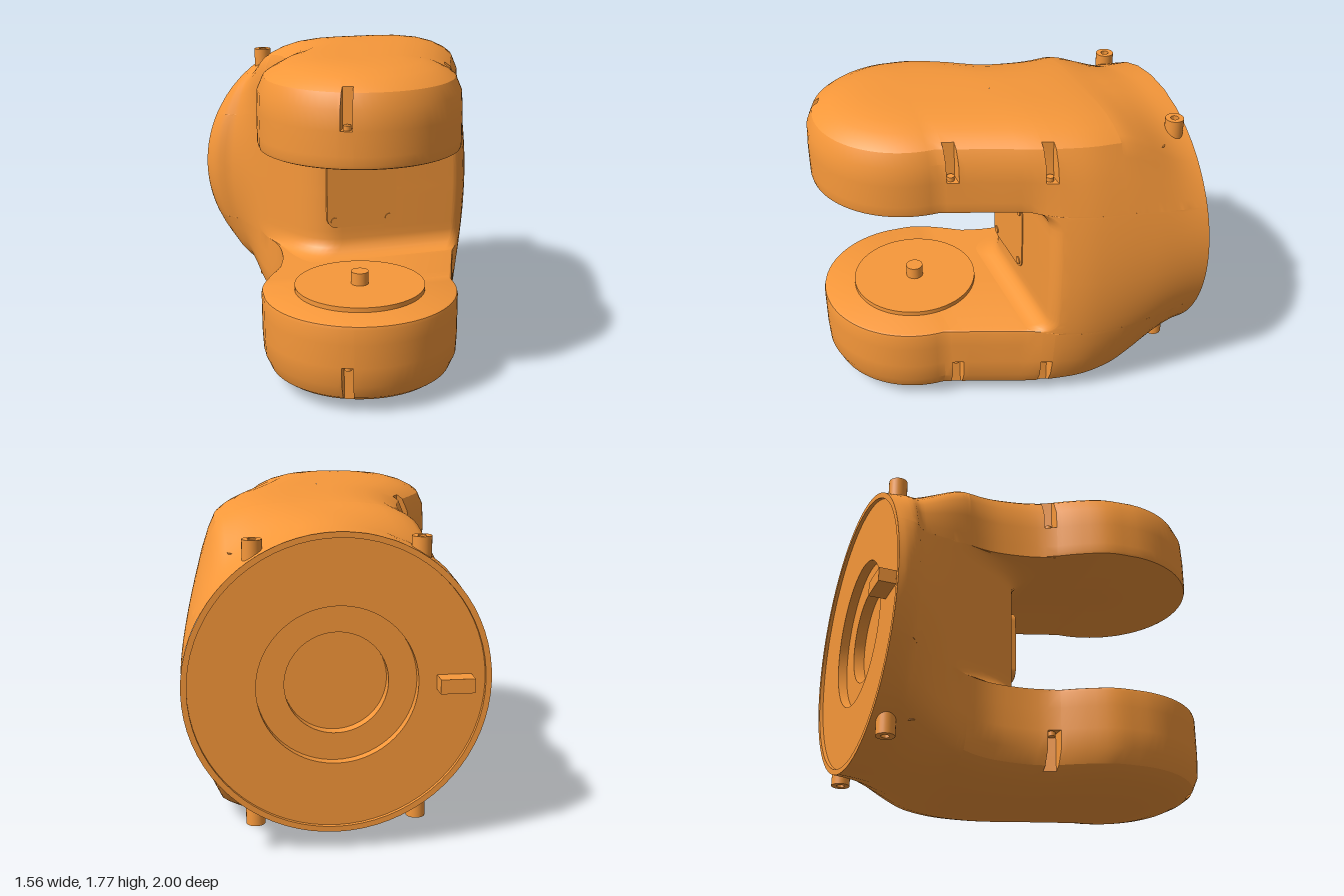
import * as THREE from 'three';
import { mergeGeometries, toCreasedNormals } from 'three/addons/utils/BufferGeometryUtils.js';

const MID = 0.89, BACK = -0.93, JOIN = -0.45, WALL = -0.07, NOSE = { x: -0.17, z: 0.47, r: 0.53 };
const material = new THREE.MeshStandardMaterial({ color: 0xf7983a });

// Smooth interpolation through [z, value] pairs
function smooth(pts) {
  const slope = i => {
    const a = pts[Math.max(i - 1, 0)], b = pts[Math.min(i + 1, pts.length - 1)];
    return (b[1] - a[1]) / (b[0] - a[0]);
  };
  return z => {
    let i = 0;
    while (i < pts.length - 2 && z > pts[i + 1][0]) i++;
    const [z0, p] = pts[i], [z1, q] = pts[i + 1], h = z1 - z0;
    const t = THREE.MathUtils.clamp((z - z0) / h, 0, 1), t2 = t * t, t3 = t2 * t;
    return (2 * t3 - 3 * t2 + 1) * p + (t3 - 2 * t2 + t) * h * slope(i)
      + (3 * t2 - 2 * t3) * q + (t3 - t2) * h * slope(i + 1);
  };
}

// Plan outlines, spine and half height along z
const front = [[0.02, 0.537], [0.1, 0.505], [0.27, 0.437], [0.4, 0.388], [0.47, 0.362]];
const leftEdge = smooth([[-0.93, -0.78], [-0.88, -0.775], [-0.81, -0.735], [-0.76, -0.66], [-0.6, -0.55], [-0.4, -0.47],
  [-0.25, -0.455], [-0.02, -0.5], [0.15, -0.605], [0.3, -0.68], [0.47, -0.7]]);
const rightArm = smooth([[-0.93, 0.6], [-0.5, 0.61], [-0.3, 0.615], [-0.12, 0.58], ...front]);
const rightMid = smooth([[-0.93, 0.78], [-0.6, 0.77], [-0.3, 0.72], [-0.12, 0.645], ...front]);
const spine = smooth([[-0.93, 0], [-0.5, 0.05], [-0.3, 0.08], [-0.1, 0.05], [0.15, -0.06], [0.47, -0.17]]);
const halfHeight = smooth([[-0.93, 0.78], [-0.78, 0.79], [-0.6, 0.823], [-0.4, 0.86], [-0.1, 0.88], [0.2, 0.885], [1, 0.885]]);

// Cross-section: round at the back, blending into the bevelled arm section
const blend = z => THREE.MathUtils.smoothstep(z, BACK, JOIN);
function sectionX(side, z, { a, b }) {
  const c = spine(z), mid = side < 0 ? c - leftEdge(z) : rightMid(z) - c;
  const arm = side < 0 ? mid : rightArm(z) - c;
  const bulge = Math.max(0, 1 - (b / 0.81) ** 2);
  const round = mid * Math.cos(Math.atan2(b, a));
  return c + side * THREE.MathUtils.lerp(round, a * (arm + (mid - arm) * bulge), blend(z));
}
const sectionY = (z, { a, b }) => halfHeight(z) * THREE.MathUtils.lerp(Math.sin(Math.atan2(b, a)), b, blend(z));

// Indexed sheet from a point rule
function sheet(nu, nv, point, flip) {
  const pos = [], index = [];
  for (let u = 0; u < nu; u++) for (let v = 0; v < nv; v++) pos.push(...point(u, v));
  for (let u = 0; u < nu - 1; u++) for (let v = 0; v < nv - 1; v++) {
    const p = u * nv + v, q = p + nv;
    index.push(...(flip ? [p, p + 1, q, q, p + 1, q + 1] : [p, q, p + 1, q, q + 1, p + 1]));
  }
  const g = new THREE.BufferGeometry();
  g.setAttribute('position', new THREE.Float32BufferAttribute(pos, 3));
  g.setIndex(index);
  return g;
}

// Section rows from the gap to the outer crown; "cut" rows open into the screw slots
const outerRows = [
  { a: 1, b: 0.55 }, { a: 1, b: 0.69 }, { a: 1, b: 0.69, cut: true }, { a: 0.99, b: 0.81, cut: true },
  { a: 0.93, b: 0.893, cut: true }, ...[[0.87, 0.92], [0.75, 0.955], [0.6, 0.981], [0.4, 0.996], [0.2, 1], [0, 1]].map(([a, b]) => ({ a, b })),
];

// Half of the column: front wall filleted into the arm, swept broadly round the left flank
function columnHalf(up, gap) {
  const start = gap - 0.11, rows = [];
  for (let i = 0; i <= 12; i++) {
    const e = Math.sin(Math.max(0, i - 6) / 6 * Math.PI / 2), fillet = 1 - Math.sqrt(1 - e * e);
    const b = i < 6 ? start * i / 6 : start + 0.11 * e;
    rows.push({ a: 1, b, end: WALL + 0.1 * fillet, left: [0.36 - 0.1 * fillet, 0.5], right: [0.05, 0.05] });
  }
  for (const row of [{ a: 1, b: gap }, ...outerRows]) rows.push({ ...row, end: JOIN, left: [0, 0], right: [0, 0] });
  const path = [];
  for (let i = 0; i <= 22; i++) path.push({ side: -1, t: i / 22, c: 0 });
  for (let i = 1; i <= 14; i++) path.push({ side: -1, t: 1, c: i / 14 * Math.PI / 2 });
  path.push(...path.map(p => ({ ...p, side: 1 })).reverse());
  return sheet(path.length, rows.length, (u, v) => {
    const { side, t, c } = path[u], row = rows[v], [rx, rz] = side < 0 ? row.left : row.right;
    const z = BACK + t * (row.end - rz - BACK) + rz * Math.sin(c);
    return [sectionX(side, z, row) - side * rx * (1 - Math.cos(c)), MID + up * sectionY(z, row), z];
  }, up < 0);
}

// Distance along the arm outline: left side, round nose, right side
const noseEnd = NOSE.z + Math.PI * NOSE.r, armEnd = noseEnd + NOSE.z - JOIN;
const slots = [0.02, 1.09, noseEnd + 0.07, noseEnd + 0.54];
function armPoint(s, row, up) {
  if (s > NOSE.z && s < noseEnd) {
    const f = (s - NOSE.z) / NOSE.r, d = NOSE.r * row.a;
    const z = NOSE.z + d * Math.sin(f);
    return [NOSE.x - d * Math.cos(f), MID + up * sectionY(z, row), z];
  }
  const side = s <= NOSE.z ? -1 : 1, z = side < 0 ? s : NOSE.z - (s - noseEnd);
  return [sectionX(side, z, row), MID + up * sectionY(z, row), z];
}
function armGeometry(up, gap) {
  const rows = [{ a: 0, b: gap }, { a: 0.97, b: gap, lip: true }, { a: 0.992, b: gap + 0.006, lip: true }, { a: 1, b: gap + 0.025 }, ...outerRows];
  const stations = [];
  for (let i = 0; i <= 80; i++) {
    const s = JOIN + (armEnd - JOIN) * i / 80;
    if (!slots.some(n => Math.abs(s - n) < 0.035)) stations.push({ s });
  }
  for (const n of slots) stations.push({ s: n - 0.03 }, { s: n - 0.0299, cut: true }, { s: n + 0.0299, cut: true }, { s: n + 0.03 });
  stations.sort((p, q) => p.s - q.s);
  return sheet(stations.length, rows.length, (u, v) => {
    const { s, cut } = stations[u], row = rows[v], inColumn = s < 0 || s > noseEnd + NOSE.z;
    const a = cut && row.cut ? 0.87 : inColumn && row.lip ? 1 : row.a;
    return armPoint(s, { a, b: row.b }, up);
  }, up < 0);
}

export function createModel() {
  const model = new THREE.Group();
  const add = (name, geometry, x = 0, y = 0, z = 0) => {
    const mesh = new THREE.Mesh(geometry, material);
    mesh.name = name;
    mesh.position.set(x, y, z);
    model.add(mesh);
    return mesh;
  };
  const halves = [['lower', -1, 0.43], ['upper', 1, 0.475]];

  // Column and the two arms
  add('column', toCreasedNormals(mergeGeometries(halves.map(([, up, gap]) => columnHalf(up, gap))), 0.6));
  for (const [word, up, gap] of halves) {
    add(word + 'Arm', toCreasedNormals(armGeometry(up, gap), 0.45));
    // Screws standing in the slots
    for (const s of slots) {
      const [x, y, z] = armPoint(s, { a: 0.93, b: 0.7 }, up);
      add(word + 'SlotScrew', new THREE.CylinderGeometry(0.02, 0.02, 0.03, 16), x, y, z);
    }
    // Hollow bosses and small lugs near the back flange
    for (const x of [-0.42, 0.415]) {
      const boss = new THREE.LatheGeometry([[0.05, -0.3], [0.05, 0], [0.022, 0], [0.022, -0.03], [0, -0.03]]
        .map(p => new THREE.Vector2(...p)), 24);
      add(word + 'Boss', toCreasedNormals(boss, 0.6), x, MID + up * 0.74, -0.85).rotation.x = up < 0 ? Math.PI : 0;
    }
    for (const x of [-0.44, 0.5])
      add(word + 'Lug', new THREE.CylinderGeometry(0.028, 0.028, 0.2, 16), x, MID + up * 0.55, -0.72);
  }

  // Back flange with rim and stepped recess
  const flange = new THREE.LatheGeometry([[0.78, 0.93], [0.75, 0.93], [0.75, 0.91], [0.41, 0.91], [0.41, 0.86],
    [0.265, 0.86], [0.265, 0.8], [0, 0.8]].map(p => new THREE.Vector2(...p)), 72);
  flange.rotateX(-Math.PI / 2);
  add('backFlange', toCreasedNormals(flange, 0.5), 0, MID, 0);
  add('locatingKey', new THREE.BoxGeometry(0.175, 0.075, 0.16), -0.59, 0.893, -0.92);

  // Turntable on the lower arm
  add('turntable', new THREE.CylinderGeometry(0.355, 0.355, 0.05, 64), NOSE.x, 0.51, 0.465);
  add('turntablePin', new THREE.CylinderGeometry(0.048, 0.048, 0.09, 32), NOSE.x, 0.56, 0.465);

  // Cover panel with corner screws
  const w = 0.21, r = 0.06, panel = new THREE.Shape();
  [[w - r, r - w, -90], [w - r, w - r, 0], [r - w, w - r, 90], [r - w, r - w, 180]].forEach(([x, y, d]) =>
    panel.absarc(x, y, r, d * Math.PI / 180, (d + 90) * Math.PI / 180, false));
  add('coverPanel', new THREE.ExtrudeGeometry(panel, { depth: 0.08, bevelEnabled: false, curveSegments: 8 }), -0.005, MID, WALL - 0.074);
  for (const x of [-0.17, 0.16]) for (const y of [0.72, 1.06])
    add('panelScrew', new THREE.CylinderGeometry(0.023, 0.023, 0.03, 20).rotateX(Math.PI / 2), x, y, WALL - 0.003);
  return model;
}
